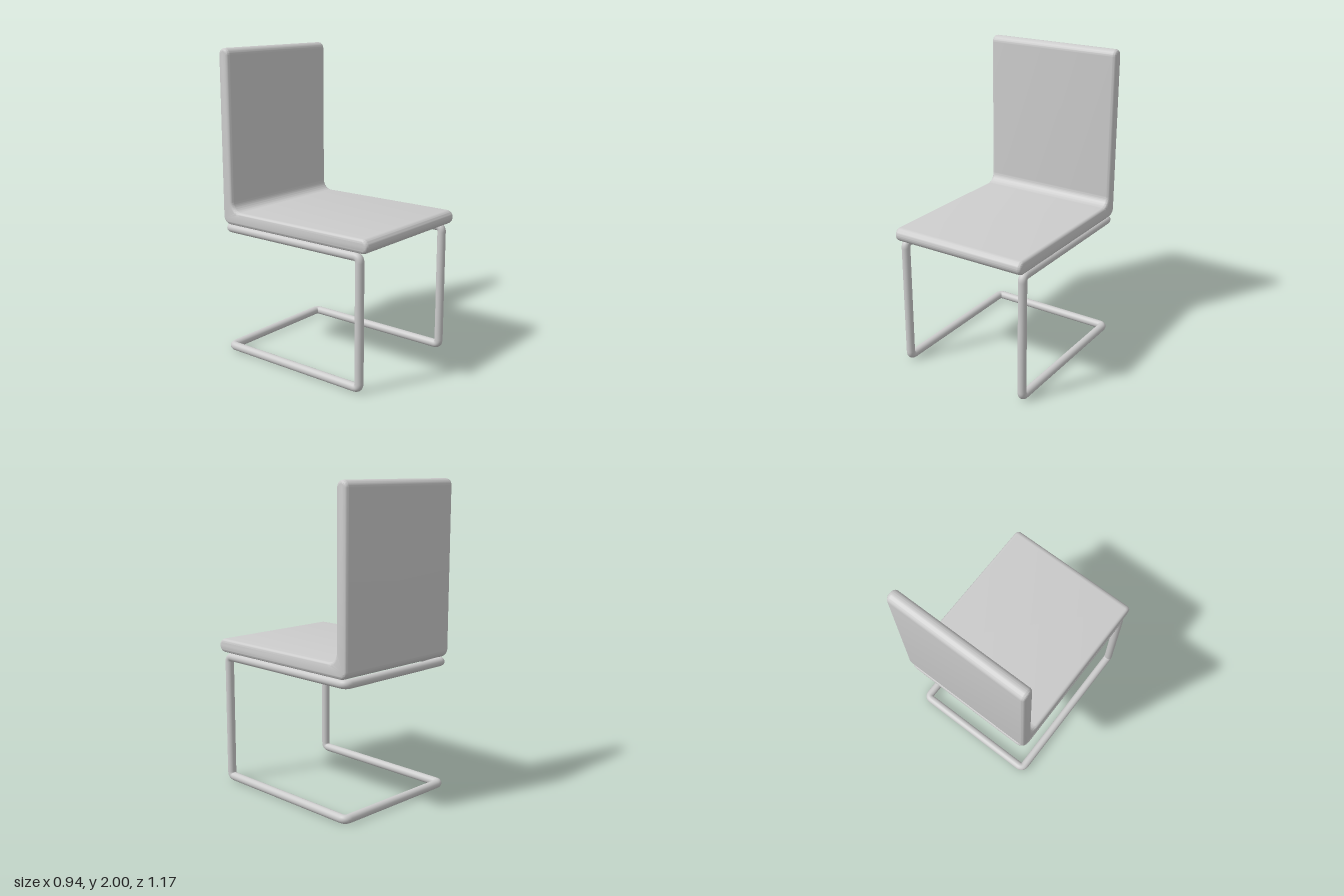
import * as THREE from 'three';
import { toCreasedNormals } from 'three/addons/utils/BufferGeometryUtils.js';

const material = new THREE.MeshStandardMaterial({ color: 0xcccccc });

// Closed polyline with rounded corners; every piece gets the same number of samples
class RoundedLoop extends THREE.Curve {
  constructor(corners, radius) {
    super();
    const n = corners.length;
    const toward = (a, b) => a.clone().add(b.clone().sub(a).setLength(radius));
    this.pieces = [];
    corners.forEach((c, i) => {
      const prev = corners[(i + n - 1) % n], next = corners[(i + 1) % n];
      this.pieces.push(new THREE.QuadraticBezierCurve3(toward(c, prev), c, toward(c, next)));
      this.pieces.push(new THREE.LineCurve3(toward(c, next), toward(next, c)));
    });
  }
  locate(t) {
    const s = (t % 1) * this.pieces.length + 1e-9;
    const i = Math.min(Math.floor(s), this.pieces.length - 1);
    return [this.pieces[i], s - i];
  }
  getPoint(t) { const [p, u] = this.locate(t); return p.getPoint(u); }
  getTangent(t) { const [p, u] = this.locate(t); return p.getTangent(u); }
  getPointAt(t) { return this.getPoint(t); }
  getTangentAt(t) { return this.getTangent(t); }
}

// L-shaped seat and backrest: side profile (z, y) extruded across the width
function createShell() {
  const front = 0.585, back = -0.585, inner = -0.5;
  const bottom = 0.873, seatTop = 0.963, top = 2;
  const rs = (seatTop - bottom) / 2, rb = (inner - back) / 2;
  const outerR = 0.055, innerR = 0.065, bevel = 0.022, width = 0.936;

  const s = new THREE.Shape();
  s.moveTo(back + outerR, bottom);
  s.lineTo(front - rs, bottom);
  s.absarc(front - rs, bottom + rs, rs, -Math.PI / 2, Math.PI / 2, false);
  s.lineTo(inner + innerR, seatTop);
  s.absarc(inner + innerR, seatTop + innerR, innerR, -Math.PI / 2, -Math.PI, true);
  s.lineTo(inner, top - rb);
  s.absarc(back + rb, top - rb, rb, 0, Math.PI, false);
  s.lineTo(back, bottom + outerR);
  s.absarc(back + outerR, bottom + outerR, outerR, Math.PI, Math.PI * 1.5, false);

  const depth = width - 2 * bevel;
  const geometry = new THREE.ExtrudeGeometry(s, {
    depth, curveSegments: 12,
    bevelThickness: bevel, bevelSize: bevel, bevelOffset: -bevel, bevelSegments: 5,
  });
  geometry.translate(0, 0, -depth / 2).rotateY(-Math.PI / 2);
  const mesh = new THREE.Mesh(toCreasedNormals(geometry, 0.7), material);
  mesh.name = 'seatAndBackrest';
  return mesh;
}

// One continuous bent tube: seat rails, front legs and floor rails
function createFrame() {
  const r = 0.0275, x = 0.44, hi = 0.846, lo = r, zf = 0.512, zb = -0.556;
  const half = [[hi, zb], [hi, zf], [lo, zf], [lo, zb]];
  const corners = [
    ...half.map(([y, z]) => new THREE.Vector3(x, y, z)),
    ...half.reverse().map(([y, z]) => new THREE.Vector3(-x, y, z)),
  ];
  const loop = new RoundedLoop(corners, 0.034);
  const mesh = new THREE.Mesh(
    new THREE.TubeGeometry(loop, loop.pieces.length * 8, r, 20, true), material);
  mesh.name = 'tubeFrame';
  return mesh;
}

export function createModel() {
  const chair = new THREE.Group();
  chair.name = 'cantileverChair';
  chair.add(createShell(), createFrame());
  return chair;
}
